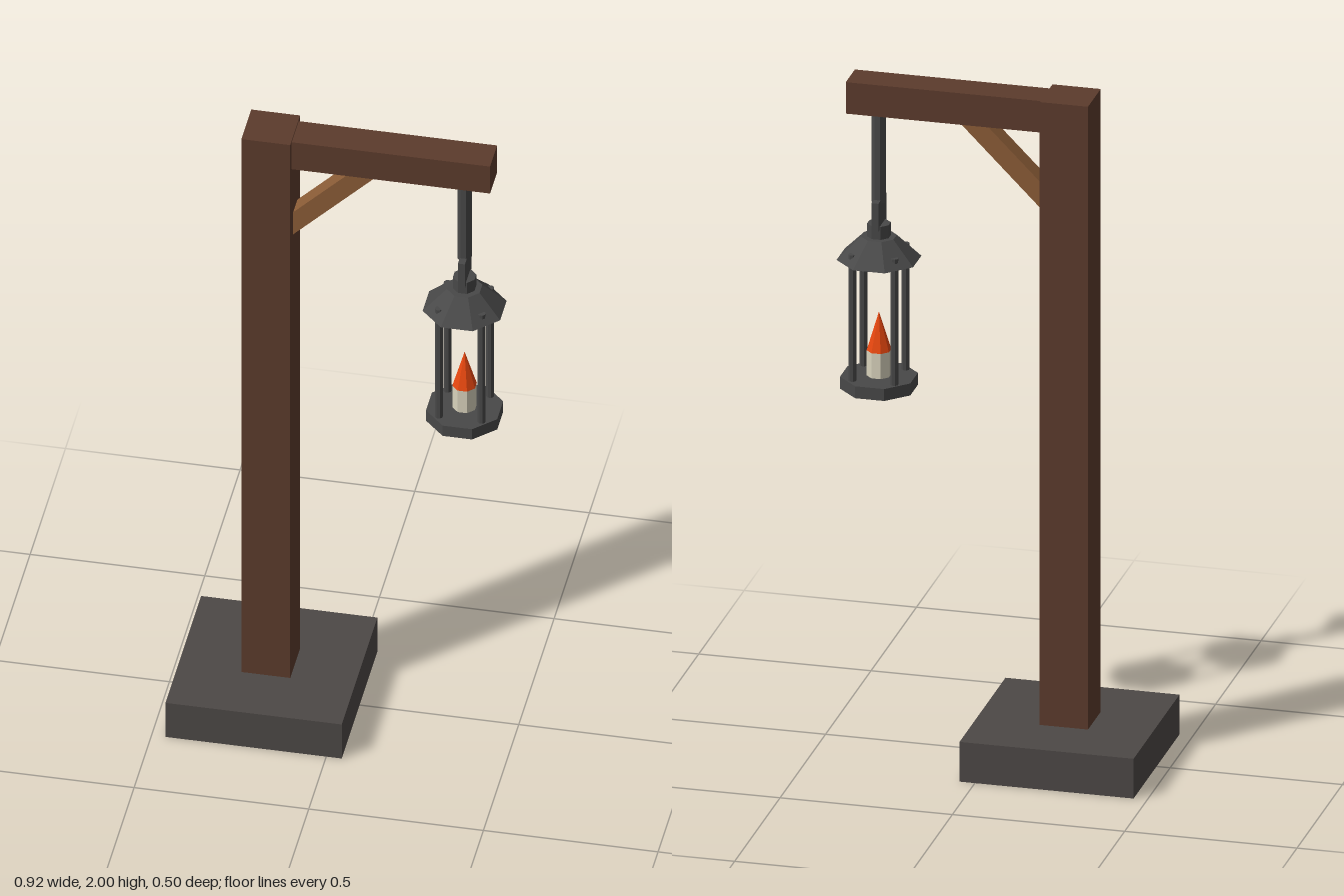
import * as THREE from 'three';

export function createModel() {
  const group = new THREE.Group();
  const mat = (name, color) => {
    const m = new THREE.MeshStandardMaterial({ color, flatShading: true });
    m.name = name;
    return m;
  };
  const stone = mat('stone', 0x4d4846);
  const darkWood = mat('dark wood', 0x5c3b2c);
  const lightWood = mat('light wood', 0x8b5c37);
  const iron = mat('iron', 0x484848);
  const wax = mat('wax', 0xd8d2bc);
  const fire = mat('fire', 0xf04a10);

  const add = (name, geometry, material, x, y, z = 0, parent = group) => {
    const mesh = new THREE.Mesh(geometry, material);
    mesh.name = name;
    mesh.position.set(x, y, z);
    parent.add(mesh);
    return mesh;
  };
  const box = (w, h, d) => new THREE.BoxGeometry(w, h, d);
  // Octagonal drum with flat sides facing the axes; radii measured to the flats
  const octagon = (top, bottom, h) => {
    const k = 1 / Math.cos(Math.PI / 8);
    return new THREE.CylinderGeometry(top * k, bottom * k, h, 8).rotateY(Math.PI / 8);
  };

  // Stone foot and timber frame
  add('base', box(0.505, 0.12, 0.505), stone, -0.208, 0.06);
  add('post', box(0.14, 1.88, 0.14), darkWood, -0.21, 1.06);
  add('beam', box(0.57, 0.095, 0.1), darkWood, 0.143, 1.9475);

  // Diagonal brace, mitred against post and beam
  const braceShape = new THREE.Shape([
    new THREE.Vector2(-0.14, 1.655), new THREE.Vector2(0.105, 1.9),
    new THREE.Vector2(0.027, 1.9), new THREE.Vector2(-0.14, 1.733),
  ]);
  add('brace', new THREE.ExtrudeGeometry(braceShape, { depth: 0.06, bevelEnabled: false }),
    lightWood, 0, 0, -0.03);

  // Hanging lantern
  const lantern = new THREE.Group();
  lantern.name = 'lantern';
  lantern.position.x = 0.345;
  group.add(lantern);
  const hang = (name, geometry, material, y, x = 0, z = 0) => add(name, geometry, material, x, y, z, lantern);

  hang('hanger', octagon(0.019, 0.019, 0.275), iron, 1.7625);
  hang('hangingLoop', box(0.02, 0.085, 0.09), iron, 1.5925);
  hang('cap', octagon(0.031, 0.031, 0.04), iron, 1.54);
  hang('roof', octagon(0.047, 0.111, 0.067), iron, 1.4875);
  hang('floor', octagon(0.102, 0.102, 0.036), iron, 1.083);
  for (const sx of [-1, 1]) {
    for (const sz of [-1, 1]) {
      hang('cornerRod', octagon(0.0105, 0.0105, 0.385), iron, 1.2895, sx * 0.061, sz * 0.061);
    }
  }

  // Candle and flame
  hang('candle', octagon(0.032, 0.032, 0.077), wax, 1.1385);
  hang('flame', new THREE.ConeGeometry(0.035, 0.115, 8).rotateY(Math.PI / 8), fire, 1.2345);

  return group;
}
